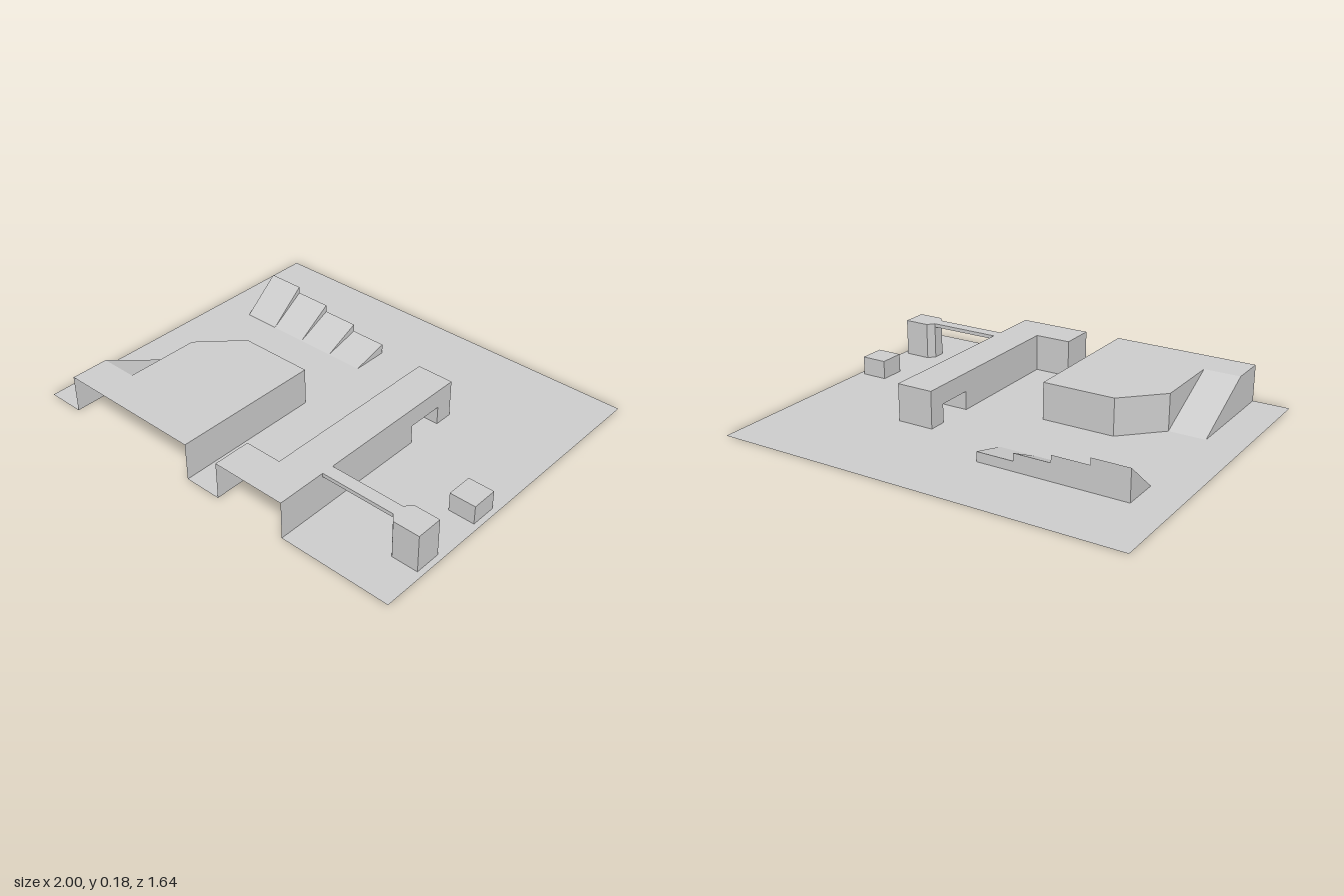
import * as THREE from 'three';

const material = new THREE.MeshStandardMaterial({ color: 0xcccccc, flatShading: true, side: THREE.DoubleSide });

// Flat convex panel through the given corners, counterclockwise from outside
function panel(...corners) {
  const positions = [];
  for (let i = 1; i < corners.length - 1; i++) positions.push(...corners[0], ...corners[i], ...corners[i + 1]);
  const geometry = new THREE.BufferGeometry();
  geometry.setAttribute('position', new THREE.Float32BufferAttribute(positions, 3));
  geometry.computeVertexNormals();
  return geometry;
}

// Horizontal sheet at height y, outlined by [x, z] points
function sheet(outline, y, holes = []) {
  const toPoints = (list) => list.map(([x, z]) => new THREE.Vector2(x, -z));
  const shape = new THREE.Shape(toPoints(outline));
  for (const hole of holes) shape.holes.push(new THREE.Path(toPoints(hole)));
  return new THREE.ShapeGeometry(shape).rotateX(-Math.PI / 2).translate(0, y, 0);
}

// Upright walls along a path of [x, z] points
function walls(path, low, high) {
  return path.slice(1).map(([bx, bz], i) => {
    const [ax, az] = path[i];
    return panel([ax, low, az], [bx, low, bz], [bx, high, bz], [ax, high, az]);
  });
}

const rect = (x0, x1, z0, z1) => [[x0, z1], [x1, z1], [x1, z0], [x0, z0]];
const closed = (outline) => [...outline, outline[0]];

function part(name, geometries) {
  const group = new THREE.Group();
  group.name = name;
  for (const geometry of geometries) {
    const mesh = new THREE.Mesh(geometry, material);
    mesh.name = name + 'Surface';
    group.add(mesh);
  }
  return group;
}

export function createModel() {
  const H = 2; // common height of the raised parts, in grid cells
  const model = new THREE.Group();
  model.name = 'terrainCourse';

  const pillar = [[9, 6.33], [9.3, 6.7], [10.7, 6.7], [10.7, 5.3], [9.3, 5.3], [9, 5.67]];
  const block = rect(9.3, 10.7, 1.3, 2.7);
  const leg = rect(3, 5, -3, -2);

  // Ground, notched at the front and open under every raised part
  model.add(part('ground', [sheet([
    [-11, 9], [-9, 9], [-9, 3], [-7, 3], [-5, 1], [-1, 1], [-1, 9],
    [1, 9], [1, 7], [3, 7], [3, 0], [5, 0], [5, 9], [11, 9], [11, -9], [-11, -9],
  ], 0, [pillar, block, leg, rect(-9, -1, -5, -3)])]));

  // Plateau with an access ramp at its right rear corner, open at the front
  model.add(part('plateau', [
    sheet([[-9, 9], [-1, 9], [-1, 1], [-5, 1], [-7, 3], [-7, 7], [-9, 7]], H),
    ...walls([[-1, 9], [-1, 1], [-5, 1], [-7, 3]], 0, H),
    panel([-9, 0, 3], [-9, 0, 9], [-9, H, 9], [-9, H, 7]),
    panel([-7, 0, 3], [-7, H, 7], [-7, H, 3]),
  ]));
  model.add(part('accessRamp', [panel([-9, 0, 3], [-9, H, 7], [-7, H, 7], [-7, 0, 3])]));

  // Long walkway with a low passage through it
  model.add(part('walkway', [
    sheet([[1, 9], [5, 9], [5, -3], [3, -3], [3, 7], [1, 7]], H),
    ...walls([[5, 9], [5, 0]], 0, H),
    ...walls([[5, 0], [5, -2]], 1, H),
    ...walls([[5, -2], [5, -3], [3, -3], [3, -2]], 0, H),
    ...walls([[3, -2], [3, 0]], 1, H),
    ...walls([[3, 0], [3, 7], [1, 7], [1, 9]], 0, H),
  ]));
  model.add(part('passage', [
    sheet(rect(3, 5, -2, 0), 1),
    ...walls([[5, 0], [3, 0]], 0, 1),
    ...walls([[3, -2], [5, -2]], 0, 1),
  ]));

  // Narrow beam leading to a pillar
  const beam = rect(5, 9, 5.67, 6.33);
  model.add(part('beam', [
    sheet(beam, H),
    sheet(beam, 1.8),
    ...walls([[5, 6.33], [9, 6.33]], 1.8, H),
    ...walls([[9, 5.67], [5, 5.67]], 1.8, H),
  ]));
  model.add(part('pillar', [
    sheet(pillar, H),
    ...walls(pillar, 0, H),
    ...walls([[9, 5.67], [9, 6.33]], 0, 1.8),
  ]));

  // Low free-standing block
  model.add(part('block', [sheet(block, 1), ...walls(closed(block), 0, 1)]));

  // Row of four ramps, each less steep than the one before
  [1.68, 1.32, 0.93, 0.52].forEach((h, i) => {
    const x0 = -9 + 2 * i, x1 = x0 + 2;
    const faces = [
      panel([x0, 0, -3], [x1, 0, -3], [x1, h, -5], [x0, h, -5]),
      panel([x1, 0, -5], [x0, 0, -5], [x0, h, -5], [x1, h, -5]),
      panel([x1, 0, -3], [x1, 0, -5], [x1, h, -5]),
    ];
    if (i === 0) faces.push(panel([x0, 0, -5], [x0, 0, -3], [x0, h, -5]));
    model.add(part('slope' + (i + 1), faces));
  });

  model.scale.setScalar(1 / 11);
  const root = new THREE.Group();
  root.add(model);
  return root;
}
